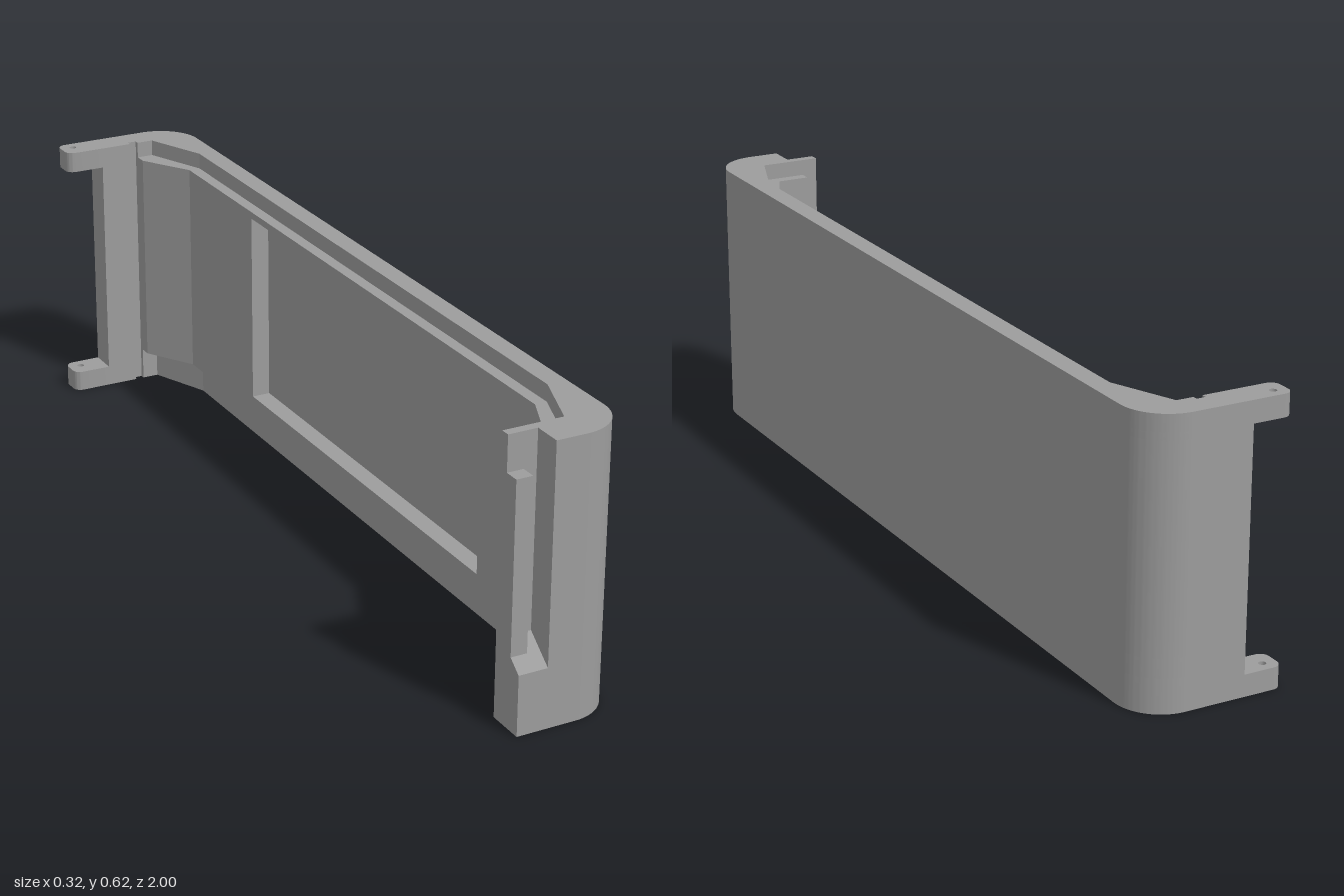
import * as THREE from 'three';
import { toCreasedNormals } from 'three/addons/utils/BufferGeometryUtils.js';

const material = new THREE.MeshStandardMaterial({ color: 0x9c9c9c });
const HEIGHT = 0.617, R = 0.1, SIDE = 0.162, BACK_END = -0.073, FRONT_END = -0.007;
const ARM = 0.933; // inner face of the back arm, as -z

// Inner outline of the bare wall, front to back, as [x, z]
const wallFront = [[0.117, 0.77], [0.064, 0.914], [FRONT_END, 0.914]];
const notch = [[0.02, -0.944], [0, -0.944], [0, -ARM]];
const wallBack = [[0.117, -0.79], [0.058, -ARM], [0.02, -ARM], ...notch];
// Inner outline where the thicker liner is added
const linerFront = [[0.09, 0.77], [0.037, 0.888], [-0.037, 0.888], [-0.037, 0.914], [FRONT_END, 0.914]];
const linerBack = [[0.09, -0.79], [0.02, -0.905], ...notch];
// Shallow rectangular recess in the long wall
const recess = [[0.09, 0.57], [0.133, 0.57], [0.133, -0.46], [0.09, -0.46]];

function add(group, name, geometry) {
  const mesh = new THREE.Mesh(geometry, material);
  mesh.name = name;
  group.add(mesh);
}

// Extrude a plan shape drawn in (x, -z) between two heights
function layer(shape, y0, y1) {
  const g = new THREE.ExtrudeGeometry(shape, { depth: y1 - y0, bevelEnabled: false, curveSegments: 16 });
  g.rotateX(-Math.PI / 2).translate(0, y0, 0);
  return toCreasedNormals(g, 0.3);
}

// C-shaped plan: rounded outside, given inside outline
function bodyPlan(front, back, middle = []) {
  const s = new THREE.Shape();
  s.moveTo(FRONT_END, -1);
  s.lineTo(SIDE - R, -1);
  s.absarc(SIDE - R, -1 + R, R, -Math.PI / 2, 0, false);
  s.lineTo(SIDE, 1 - R);
  s.absarc(SIDE - R, 1 - R, R, 0, Math.PI / 2, false);
  s.lineTo(BACK_END, 1);
  s.lineTo(BACK_END, ARM);
  for (const [x, z] of [...front].reverse().concat(middle, back).reverse()) s.lineTo(x, -z);
  s.closePath();
  return s;
}

// Mounting tab with rounded tip and screw hole
function tabPlan() {
  const s = new THREE.Shape(), tip = -SIDE, r = 0.02;
  s.moveTo(BACK_END, ARM);
  s.lineTo(BACK_END, 1);
  s.lineTo(tip + r, 1);
  s.absarc(tip + r, 1 - r, r, Math.PI / 2, Math.PI, false);
  s.lineTo(tip, ARM + r);
  s.absarc(tip + r, ARM + r, r, Math.PI, Math.PI * 1.5, false);
  s.closePath();
  const hole = new THREE.Path();
  hole.absarc(-0.132, 0.973, 0.008, 0, Math.PI * 2, true);
  s.holes.push(hole);
  return s;
}

function box(x0, x1, y0, y1, z0, z1) {
  return new THREE.BoxGeometry(x1 - x0, y1 - y0, z1 - z0)
    .translate((x0 + x1) / 2, (y0 + y1) / 2, (z0 + z1) / 2);
}

export function createModel() {
  const model = new THREE.Group();
  model.name = 'curvedCoverPanel';

  // Main shell, stacked from bottom to top
  const bare = bodyPlan(wallFront, wallBack);
  const lined = bodyPlan(linerFront, linerBack);
  const recessed = bodyPlan(linerFront, linerBack, recess);
  const shell = new THREE.Group();
  shell.name = 'shell';
  add(shell, 'bottomEdge', layer(bare, 0, 0.076));
  add(shell, 'lowerLiner', layer(lined, 0.076, 0.118));
  add(shell, 'recessedWall', layer(recessed, 0.118, 0.564));
  add(shell, 'upperLiner', layer(lined, 0.564, 0.58));
  add(shell, 'topEdge', layer(bare, 0.58, HEIGHT));
  model.add(shell);

  // Tabs at the back, top and bottom
  add(model, 'lowerTab', layer(tabPlan(), 0, 0.048));
  add(model, 'upperTab', layer(tabPlan(), 0.569, HEIGHT));

  // Latch at the front end: thin plate, sloped foot and upright rib
  const latch = new THREE.Group();
  latch.name = 'latch';
  add(latch, 'latchPlate', box(BACK_END, FRONT_END, 0, HEIGHT, 0.914, 0.935));
  const foot = new THREE.Shape([[0.935, 0], [1, 0], [1, 0.135], [0.935, 0.187]]
    .map(([z, y]) => new THREE.Vector2(z, y)));
  const footGeometry = new THREE.ExtrudeGeometry(foot, { depth: FRONT_END - BACK_END, bevelEnabled: false });
  add(latch, 'latchFoot', footGeometry.rotateY(-Math.PI / 2).translate(FRONT_END, 0, 0));
  add(latch, 'latchRib', box(BACK_END, -0.036, 0.14, 0.538, 0.935, 0.969));
  model.add(latch);

  return model;
}
